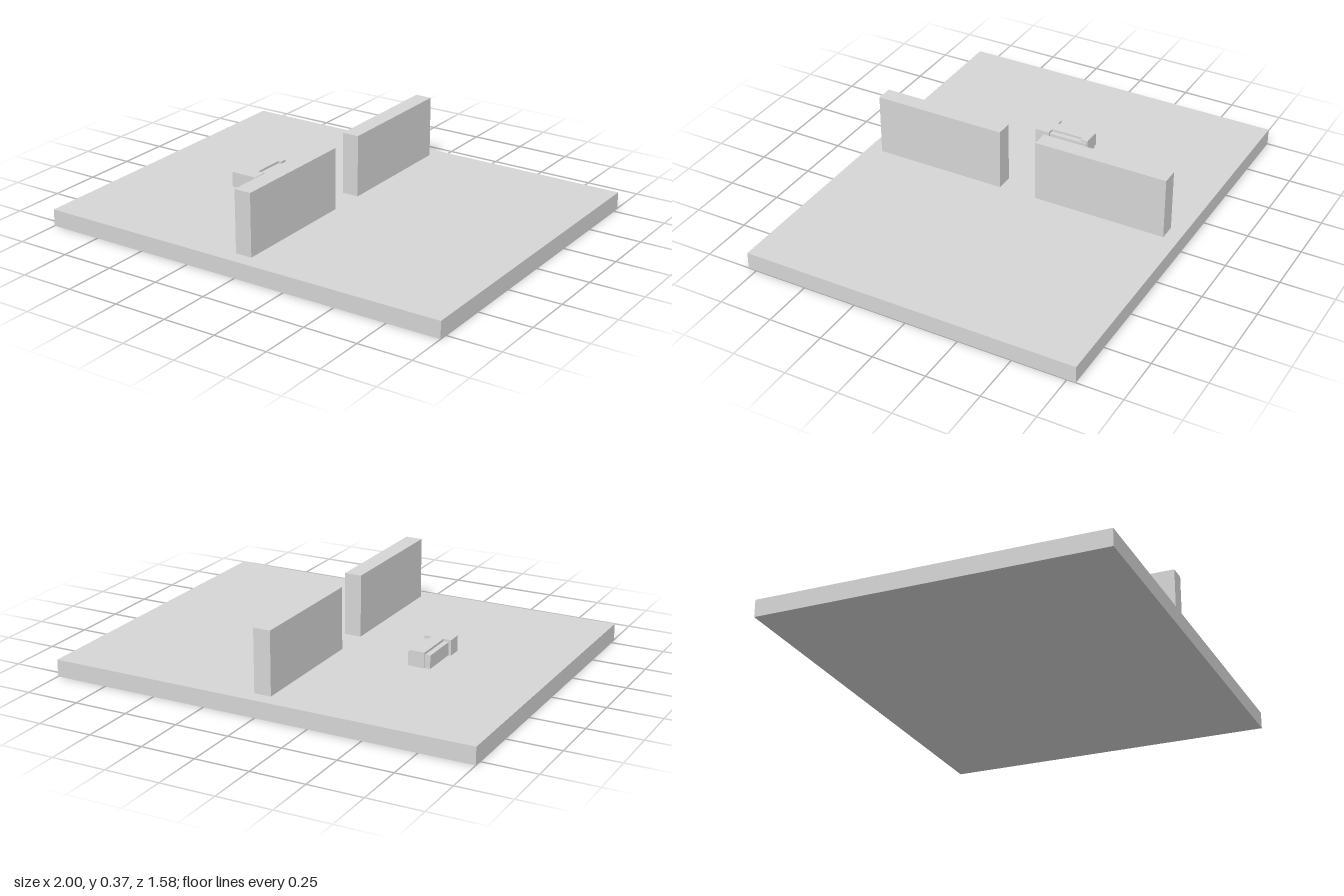
import * as THREE from 'three';

export function createModel() {
  const model = new THREE.Group();
  const grey = new THREE.MeshStandardMaterial({ color: 0xd6d6d6 });
  grey.name = 'light grey';

  // Box given by its extents on each axis
  function block(name, [x0, x1], [y0, y1], [z0, z1], parent = model) {
    const mesh = new THREE.Mesh(new THREE.BoxGeometry(x1 - x0, y1 - y0, z1 - z0), grey);
    mesh.position.set((x0 + x1) / 2, (y0 + y1) / 2, (z0 + z1) / 2);
    mesh.name = name;
    parent.add(mesh);
  }

  const floor = 0.079;
  block('basePlate', [-1, 1], [0, floor], [-0.79, 0.79]);

  // Two wall halves with a doorway between them
  block('frontWall', [-0.04, 0.04], [floor, 0.37], [0.089, 0.72]);
  block('backWall', [-0.04, 0.04], [floor, 0.37], [-0.72, -0.089]);

  // Small bench: wide front block, raised spine and lower side rails
  const bench = new THREE.Group();
  bench.name = 'bench';
  model.add(bench);
  const top = 0.152, railTop = 0.141;
  block('benchFront', [-0.502, -0.372], [floor, top], [0.06, 0.13], bench);
  block('benchSpine', [-0.465, -0.407], [floor, top], [-0.133, 0.06], bench);
  block('benchSpineEnd', [-0.407, -0.39], [floor, top], [-0.133, -0.098], bench);
  block('leftRail', [-0.407, -0.383], [floor, railTop], [-0.128, 0.06], bench);
  block('rightRail', [-0.49, -0.465], [floor, railTop], [-0.128, 0.06], bench);

  return model;
}
